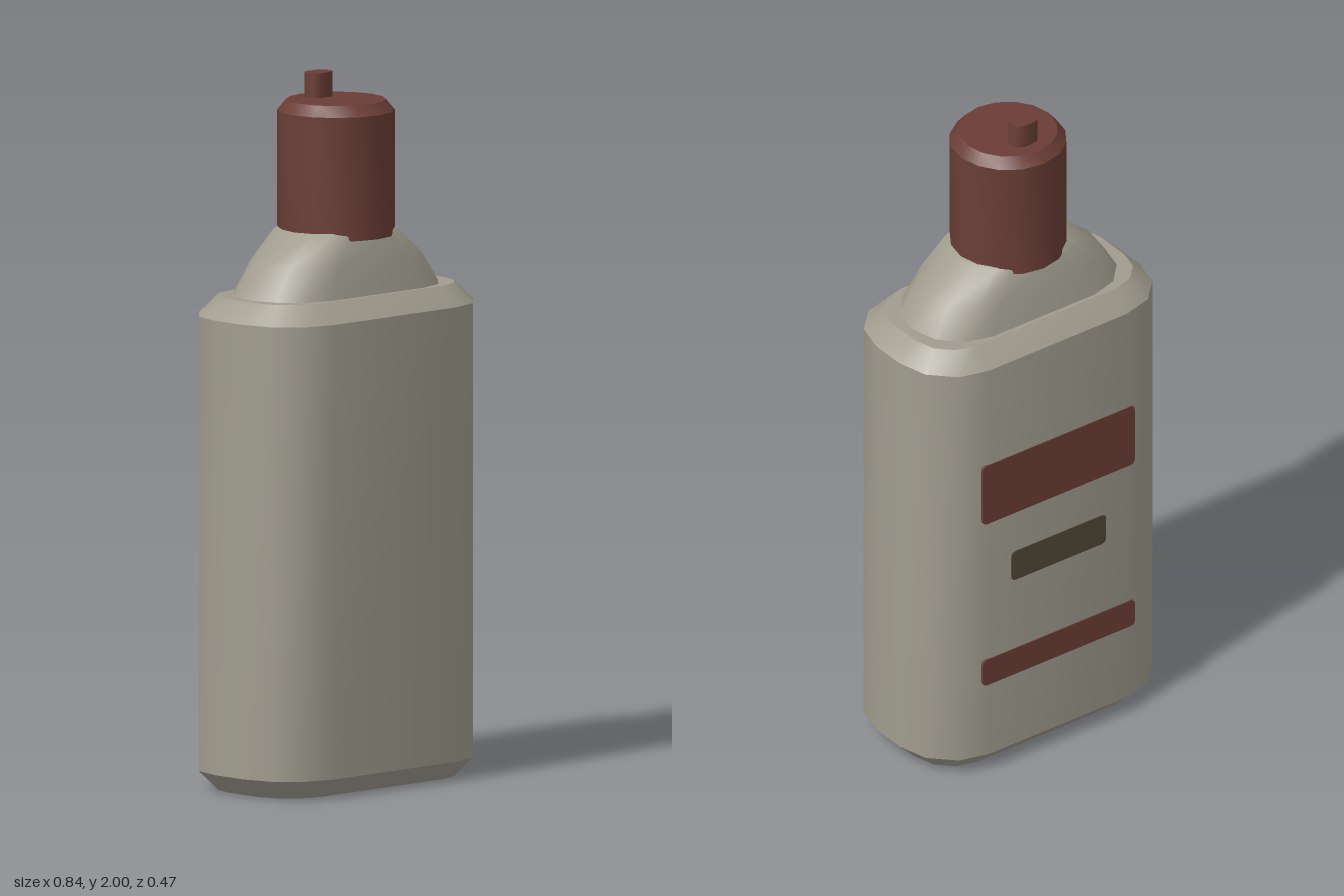
import * as THREE from 'three';
import { toCreasedNormals } from 'three/addons/utils/BufferGeometryUtils.js';

const CREASE = 0.6;

// Rounded rectangle in x/z: corner centres at (cx, cz), corner radii rx and rz
function outline(cx, cz, rx, rz, steps) {
  const points = [];
  for (let q = 0; q < 4; q++) {
    const sx = q === 0 || q === 3 ? 1 : -1;
    const sz = q < 2 ? 1 : -1;
    for (let i = 0; i <= steps; i++) {
      const a = (q + i / steps) * Math.PI / 2;
      if (cz === 0 && i === steps && q % 2 === 1) continue; // corners meet here
      if (cz === 0 && i === steps && q === 3) continue;
      points.push([sx * cx + rx * Math.cos(a), sz * cz + rz * Math.sin(a)]);
    }
  }
  return points;
}

// Closed skin through levels of [y, cx, cz, rx, rz]
function loft(levels, steps = 3) {
  const rings = levels.map(([y, ...size]) => outline(...size, steps).map(([x, z]) => [x, y, z]));
  const n = rings[0].length;
  const last = rings.length - 1;
  const pos = [];
  const tri = (...corners) => corners.forEach((c) => pos.push(...c));
  for (let i = 0; i < n; i++) {
    const j = (i + 1) % n;
    for (let k = 0; k < last; k++) {
      const lo = rings[k], hi = rings[k + 1];
      tri(lo[i], hi[i], lo[j]);
      tri(lo[j], hi[i], hi[j]);
    }
    tri([0, levels[0][0], 0], rings[0][i], rings[0][j]);
    tri([0, levels[last][0], 0], rings[last][j], rings[last][i]);
  }
  const geometry = new THREE.BufferGeometry();
  geometry.setAttribute('position', new THREE.Float32BufferAttribute(pos, 3));
  return toCreasedNormals(geometry, CREASE);
}

// Thin rounded plate facing the back
function plate(w, h, depth) {
  const r = 0.015, x = w / 2, y = h / 2;
  const s = new THREE.Shape();
  s.moveTo(-x + r, -y);
  s.lineTo(x - r, -y).quadraticCurveTo(x, -y, x, -y + r);
  s.lineTo(x, y - r).quadraticCurveTo(x, y, x - r, y);
  s.lineTo(-x + r, y).quadraticCurveTo(-x, y, -x, y - r);
  s.lineTo(-x, -y + r).quadraticCurveTo(-x, -y, -x + r, -y);
  return new THREE.ExtrudeGeometry(s, { depth, bevelEnabled: false, curveSegments: 3 });
}

export function createModel() {
  const group = new THREE.Group();
  const material = (name, color) => {
    const m = new THREE.MeshStandardMaterial({ color });
    m.name = name;
    return m;
  };
  const shell = material('warm grey', 0xa09c8e);
  const red = material('brownish red', 0x6a3d36);
  const dark = material('dark brown', 0x524737);

  const add = (name, geometry, mat, y = 0, z = 0) => {
    const mesh = new THREE.Mesh(geometry, mat);
    mesh.name = name;
    mesh.position.set(0, y, z);
    group.add(mesh);
    return mesh;
  };

  // Bottle body with bevelled top and bottom rims
  add('body', loft([
    [0, 0.24, 0.055, 0.125, 0.125],
    [0.055, 0.24, 0.055, 0.18, 0.18],
    [1.34, 0.24, 0.055, 0.18, 0.18],
    [1.395, 0.24, 0.055, 0.125, 0.125],
  ]), shell);

  // Shoulder tapering from the body into the cap
  add('shoulder', loft([
    [1.39, 0.18, 0, 0.162, 0.17],
    [1.48, 0.14, 0, 0.14, 0.152],
    [1.565, 0.085, 0, 0.088, 0.136],
    [1.58, 0.07, 0, 0.075, 0.122],
  ]), shell);

  // Cap with a bevelled top edge
  const capProfile = [[0, 1.55], [0.165, 1.55], [0.165, 1.9], [0.14, 1.93], [0, 1.93]]
    .map(([x, y]) => new THREE.Vector2(x, y));
  add('cap', toCreasedNormals(new THREE.LatheGeometry(capProfile, 16), CREASE), red);

  // Small nozzle set towards the back of the cap
  add('nozzle', loft([
    [1.92, 0.015, 0.003, 0.027, 0.027],
    [2, 0.015, 0.003, 0.027, 0.027],
  ]), red, 0, -0.07);

  // Label bars on the back: name, width, bottom, top, material
  [
    ['upperLabel', 0.53, 0.83, 1.025, red],
    ['middleLabel', 0.33, 0.605, 0.7, dark],
    ['lowerLabel', 0.53, 0.29, 0.375, red],
  ].forEach(([name, w, y0, y1, mat]) =>
    add(name, plate(w, y1 - y0, 0.0095), mat, (y0 + y1) / 2, -0.238));

  return group;
}
